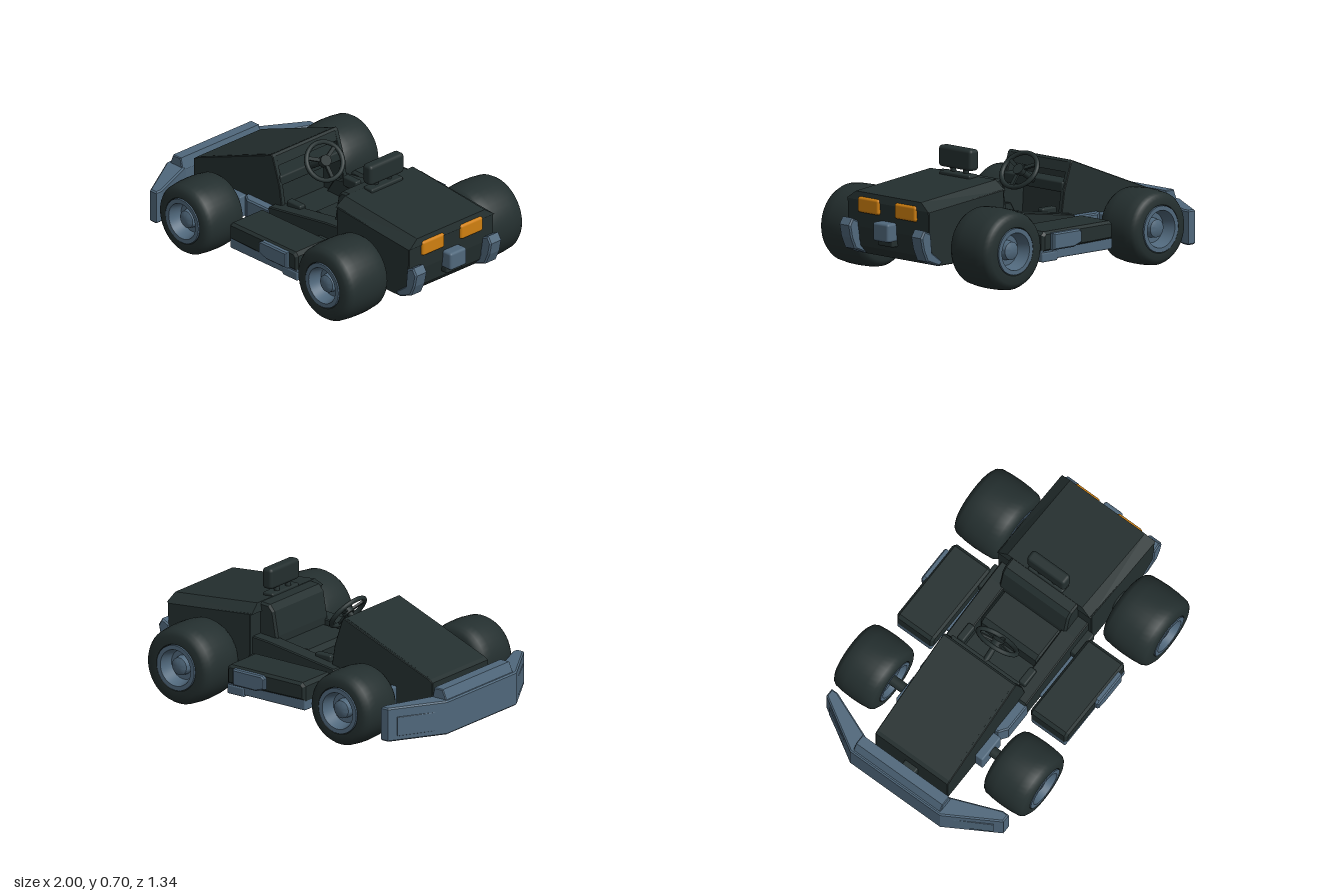
import * as THREE from 'three';
import { toCreasedNormals } from 'three/addons/utils/BufferGeometryUtils.js';
import { RoundedBoxGeometry } from 'three/addons/geometries/RoundedBoxGeometry.js';

const mat = (name, color) => Object.assign(new THREE.MeshStandardMaterial({ color }), { name });

export function createModel() {
  const dark = mat('charcoal', 0x242f2f);
  const blue = mat('slate blue', 0x50687c);
  const orange = mat('lamp orange', 0xd08010);
  const kart = new THREE.Group();
  kart.name = 'kart';

  const add = (name, geometry, material, parent = kart) => {
    const m = new THREE.Mesh(geometry, material);
    m.name = name;
    parent.add(m);
    return m;
  };
  // Rounded box given by its ranges on each axis
  const box = (name, material, [x0, x1], [y0, y1], [z0, z1], r = 0.01) => {
    const m = add(name, new RoundedBoxGeometry(x1 - x0, y1 - y0, z1 - z0, 2, r), material);
    m.position.set((x0 + x1) / 2, (y0 + y1) / 2, (z0 + z1) / 2);
    return m;
  };
  const shapeOf = pts => new THREE.Shape(pts.map(p => new THREE.Vector2(...p)));
  // Side profile (x, y) extruded from z0 to z1 with a small bevel
  const profile = (name, material, pts, z0, z1, b = 0.008) => {
    const g = new THREE.ExtrudeGeometry(shapeOf(pts), {
      depth: z1 - z0 - 2 * b, bevelEnabled: b > 0, bevelSize: b, bevelThickness: b, bevelOffset: -b, bevelSegments: 1,
    });
    g.translate(0, 0, z0 + b);
    return add(name, g, material);
  };
  // Plan outline (x, z) extruded upward
  const plan = (name, material, pts, y0, y1) => {
    const g = new THREE.ExtrudeGeometry(shapeOf(pts), {
      depth: y1 - y0 - 0.016, bevelSize: 0.008, bevelThickness: 0.008, bevelOffset: -0.008, bevelSegments: 1,
    });
    g.rotateX(-Math.PI / 2).translate(0, y0 + 0.008, 0);
    return add(name, g, material);
  };
  const rod = (name, material, a, b, r) => {
    const A = new THREE.Vector3(...a), B = new THREE.Vector3(...b);
    const m = add(name, new THREE.CylinderGeometry(r, r, A.distanceTo(B), 16), material);
    m.position.copy(A).add(B).multiplyScalar(0.5);
    m.quaternion.setFromUnitVectors(new THREE.Vector3(0, 1, 0), B.sub(A).normalize());
    return m;
  };
  const lathe = pts => toCreasedNormals(
    new THREE.LatheGeometry(pts.map(p => new THREE.Vector2(...p)), 40), 0.6);

  // Wheels: fat tyre with a dished rim
  const wheel = (name, x, z, r, h, side) => {
    const g = new THREE.Group();
    g.name = name;
    add('tyre', lathe([[0.125, -h + 0.02], [0.135, -h], [r * 0.8, -h], [r * 0.9, -h + 0.012], [r * 0.96, -h * 0.78],
      [r * 0.99, -h * 0.4], [r, 0], [r * 0.99, h * 0.4], [r * 0.96, h * 0.78], [r * 0.9, h - 0.012],
      [r * 0.8, h], [0.135, h], [0.125, h - 0.02]]), dark, g);
    add('rim', lathe([[0, -h + 0.03], [0.1, -h + 0.03], [0.11, -h - 0.002], [0.13, -h - 0.002], [0.13, h + 0.004],
      [0.105, h + 0.004], [0.085, h - 0.07], [0.055, h - 0.07], [0.05, h - 0.03], [0.03, h - 0.02], [0, h - 0.02]]), blue, g);
    g.rotation.x = side * Math.PI / 2;
    g.position.set(x, r + 0.008, z * side);
    kart.add(g);
  };

  // Nose cowl with a hollow facing the driver
  profile('noseCowl', dark, [[-0.85, 0.14], [-0.85, 0.34], [-0.83, 0.355], [-0.24, 0.585], [-0.32, 0.5], [-0.3, 0.14]], -0.235, 0.235, 0);
  profile('cowlTop', dark, [[-0.85, 0.32], [-0.85, 0.34], [-0.83, 0.355], [-0.235, 0.585], [-0.222, 0.575], [-0.205, 0.52], [-0.26, 0.53]], -0.24, 0.24, 0);
  // Floor
  box('floor', dark, [-0.84, 0.86], [0.14, 0.2], [-0.25, 0.25], 0.005);
  box('dashboard', dark, [-0.29, -0.17], [0.41, 0.47], [-0.236, 0.236]);

  // Rear engine cover: upright lower body and tapered deck
  profile('rearBody', dark, [[0.36, 0.14], [0.86, 0.14], [0.91, 0.19], [0.93, 0.3], [0.935, 0.45], [0.36, 0.505]], -0.322, 0.322, 0.004);
  const deck = profile('rearDeck', dark, [[0.35, 0.5], [0.94, 0.45], [0.93, 0.495], [0.36, 0.552]], -0.322, 0.322, 0);
  const p = deck.geometry.attributes.position;
  for (let i = 0; i < p.count; i++) {
    const shoulder = 0.5 - (p.getX(i) - 0.35) * 0.085;
    if (p.getY(i) > shoulder + 0.02) p.setZ(i, p.getZ(i) * 0.8);
  }
  deck.geometry.computeVertexNormals();

  // Seat and headrest
  profile('seatCushion', dark, [[0.03, 0.2], [0.03, 0.3], [0.06, 0.325], [0.28, 0.33], [0.3, 0.2]], -0.2, 0.2, 0.015);
  profile('seatBack', dark, [[0.24, 0.2], [0.245, 0.37], [0.27, 0.51], [0.3, 0.545], [0.37, 0.55], [0.37, 0.2]], -0.23, 0.23, 0.012);
  box('headrest', dark, [0.362, 0.43], [0.587, 0.707], [-0.13, 0.13], 0.02);
  box('headrestBase', dark, [0.36, 0.43], [0.53, 0.565], [-0.12, 0.12], 0.01);

  // Steering wheel
  const steering = new THREE.Group();
  steering.name = 'steeringWheel';
  add('steeringRing', new THREE.TorusGeometry(0.108, 0.013, 10, 36), dark, steering);
  const hub = add('steeringHub', new THREE.CylinderGeometry(0.032, 0.032, 0.03, 16), dark, steering);
  hub.rotation.x = Math.PI / 2;
  for (let i = 0; i < 3; i++) {
    const a = Math.PI / 6 + i * Math.PI * 2 / 3;
    const spoke = add('spoke', new THREE.BoxGeometry(0.1, 0.02, 0.012), dark, steering);
    spoke.position.set(Math.cos(a) * 0.055, Math.sin(a) * 0.055, 0);
    spoke.rotation.z = a;
  }
  steering.scale.x = 1.15;
  steering.position.set(-0.07, 0.52, 0);
  steering.lookAt(0.75, 1.12, 0);
  kart.add(steering);
  rod('steeringColumn', dark, [-0.25, 0.41, 0], [-0.07, 0.52, 0], 0.018);

  // Axles
  rod('frontAxle', dark, [-0.51, 0.22, -0.4], [-0.51, 0.22, 0.4], 0.03);
  rod('rearAxle', dark, [0.61, 0.235, -0.4], [0.61, 0.235, 0.4], 0.06);

  // Parts on both sides
  for (const s of [1, -1]) {
    const zr = (a, b) => (s > 0 ? [a, b] : [-b, -a]);
    wheel('frontWheel', -0.51, 0.517, 0.212, 0.143, s);
    wheel('rearWheel', 0.608, 0.513, 0.226, 0.155, s);
    profile('cowlSide', dark, [[-0.85, 0.14], [-0.85, 0.34], [-0.83, 0.355], [-0.235, 0.585], [-0.222, 0.575],
      [-0.17, 0.42], [-0.15, 0.3], [-0.15, 0.14]], ...zr(0.22, 0.25), 0.004);
    profile('sill', dark, [[-0.3, 0.14], [-0.2, 0.295], [0.25, 0.36], [0.37, 0.37], [0.37, 0.14]], ...zr(0.2, 0.3), 0.006);
    box('footRest', dark, [-0.13, -0.02], [0.28, 0.34], zr(0.19, 0.235));
    box('axleBracket', blue, [-0.6, -0.43], [0.14, 0.27], zr(0.24, 0.3));
    plan('frameRail', blue, [[-0.42, 0.24], [-0.42, 0.27], [-0.37, 0.305], [-0.2, 0.305], [-0.2, 0.24]]
      .map(([x, z]) => [x, -z * s])[s > 0 ? 'slice' : 'reverse'](), 0.14, 0.28);

    // Side pod with blue tray and step
    profile('sidePod', dark, [[-0.22, 0.19], [-0.22, 0.275], [-0.2, 0.295], [0.3, 0.295], [0.32, 0.275], [0.32, 0.18]], ...zr(0.335, 0.588), 0.015);
    box('podTray', blue, [-0.22, 0.32], [0.135, 0.2], zr(0.345, 0.58));
    box('podFoot', blue, [0.2, 0.32], [0.125, 0.18], zr(0.36, 0.585));
    box('podLink', blue, [-0.08, 0.3], [0.145, 0.19], zr(0.28, 0.36));
    box('podBrace', dark, [0.2, 0.36], [0.2, 0.27], zr(0.28, 0.345));
    profile('podStep', blue, [[0.04, 0.21], [0.04, 0.27], [0.06, 0.285], [0.26, 0.285], [0.26, 0.19], [0.1, 0.19]], ...zr(0.57, 0.612), 0.008);

    // Tail
    profile('rearBumper', blue, [[0.83, 0.16], [0.86, 0.14], [0.95, 0.175], [0.98, 0.24], [0.995, 0.31], [0.97, 0.35],
      [0.92, 0.325], [0.91, 0.22]], ...zr(0.24, 0.328), 0.008);
    box('tailLamp', orange, [0.915, 0.95], [0.382, 0.47], zr(0.062, 0.23), 0.015);
    rod('headrestPost', dark, [0.375, 0.5, 0.05 * s], [0.395, 0.62, 0.05 * s], 0.016);

    // Inset panel on the swept bumper wing
    const panel = box('bumperPanel', blue, [-0.115, 0.115], [0.115, 0.225], [-0.005, 0.005], 0.004);
    panel.position.set(-0.905, 0.175, 0.465 * s);
    panel.rotation.y = -s * Math.atan2(0.3, 0.17);
    panel.rotation.y = s > 0 ? -Math.atan2(0.3, 0.17) : Math.atan2(0.3, 0.17);
  }
  box('tailBlock', blue, [0.91, 0.995], [0.25, 0.355], [-0.062, 0.062], 0.015);
  box('tailBlockMount', dark, [0.9, 0.96], [0.22, 0.26], [-0.06, 0.06]);

  // Swept front bumper and its raised centre
  plan('frontBumper', blue, [[-1, -0.31], [-0.82, -0.61], [-0.77, -0.61], [-0.77, -0.57], [-0.89, -0.27],
    [-0.89, 0.27], [-0.77, 0.57], [-0.77, 0.61], [-0.82, 0.61], [-1, 0.31]], 0.09, 0.285);
  profile('bumperCrest', blue, [[-0.99, 0.27], [-0.96, 0.34], [-0.9, 0.34], [-0.885, 0.27]], -0.3, 0.3, 0.005);
  box('bumperStrut', dark, [-0.91, -0.83], [0.18, 0.26], [-0.045, 0.045]);

  return kart;
}
